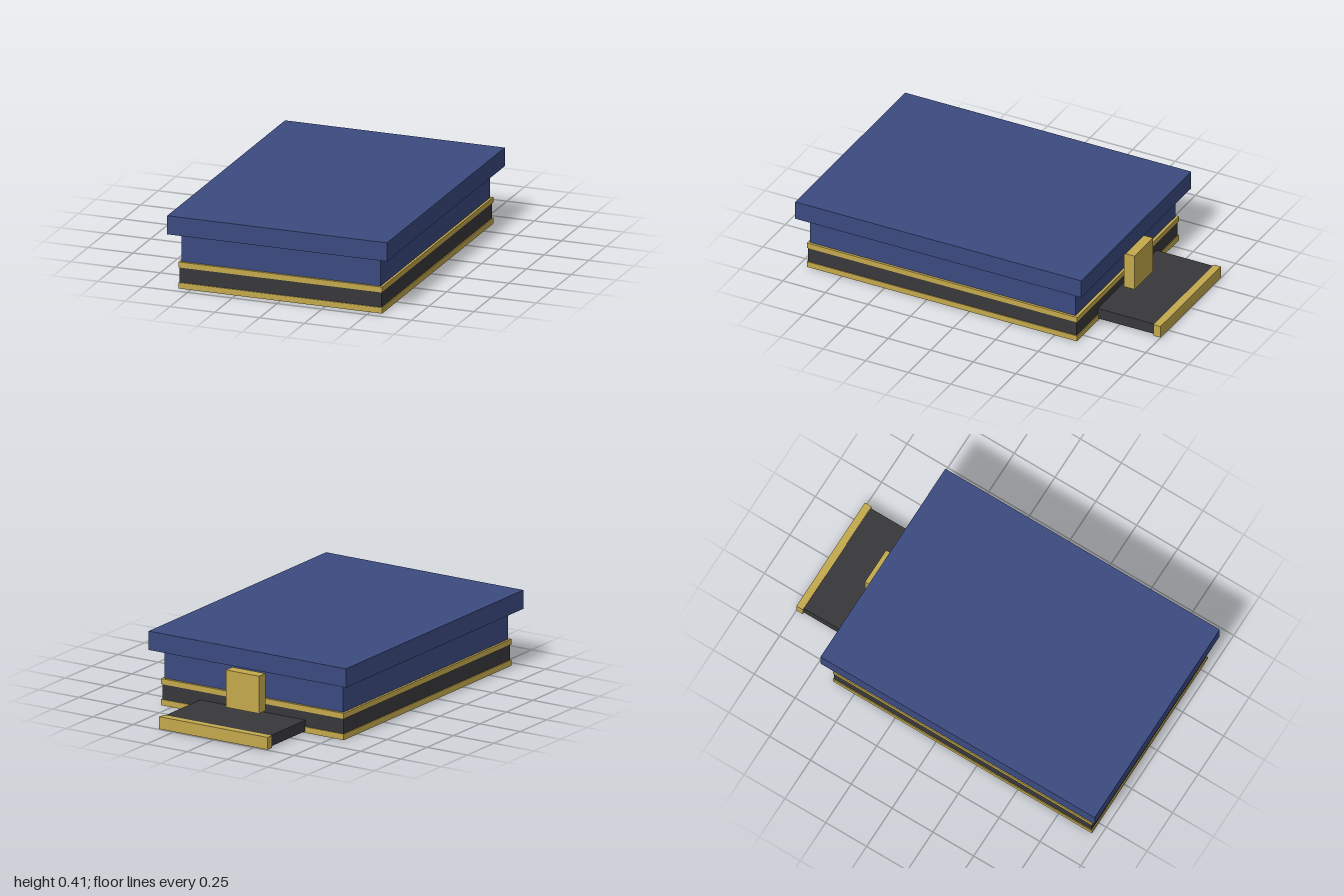
import * as THREE from 'three';

const material = (name, color) => {
  const m = new THREE.MeshStandardMaterial({ color });
  m.name = name;
  return m;
};

export function createModel() {
  const blue = material('blue', 0x3b4a80);
  const gold = material('gold', 0xc4a94c);
  const dark = material('charcoal', 0x38383b);
  const model = new THREE.Group();
  model.name = 'box';

  // Box centred on x, given by half width, y range and z range
  const block = (name, mat, halfWidth, y0, y1, z0, z1) => {
    const mesh = new THREE.Mesh(
      new THREE.BoxGeometry(halfWidth * 2, y1 - y0, z1 - z0), mat);
    mesh.name = name;
    mesh.position.set(0, (y0 + y1) / 2, (z0 + z1) / 2);
    model.add(mesh);
  };

  // Main stack, from the base up
  block('bottomTrim', gold, 0.568, 0, 0.032, -0.632, 0.955);
  block('baseBand', dark, 0.563, 0.032, 0.115, -0.627, 0.95);
  block('upperTrim', gold, 0.568, 0.115, 0.145, -0.632, 0.955);
  block('body', blue, 0.555, 0.145, 0.305, -0.617, 0.942);
  block('lid', blue, 0.613, 0.305, 0.407, -0.68, 1);

  // Rear tray with its edging, and the clasp hanging behind the lid
  block('tray', dark, 0.327, 0.008, 0.068, -0.96, -0.62);
  block('trayEdge', gold, 0.337, 0.003, 0.07, -1, -0.96);
  block('clasp', gold, 0.103, 0.09, 0.293, -0.725, -0.664);

  return model;
}
